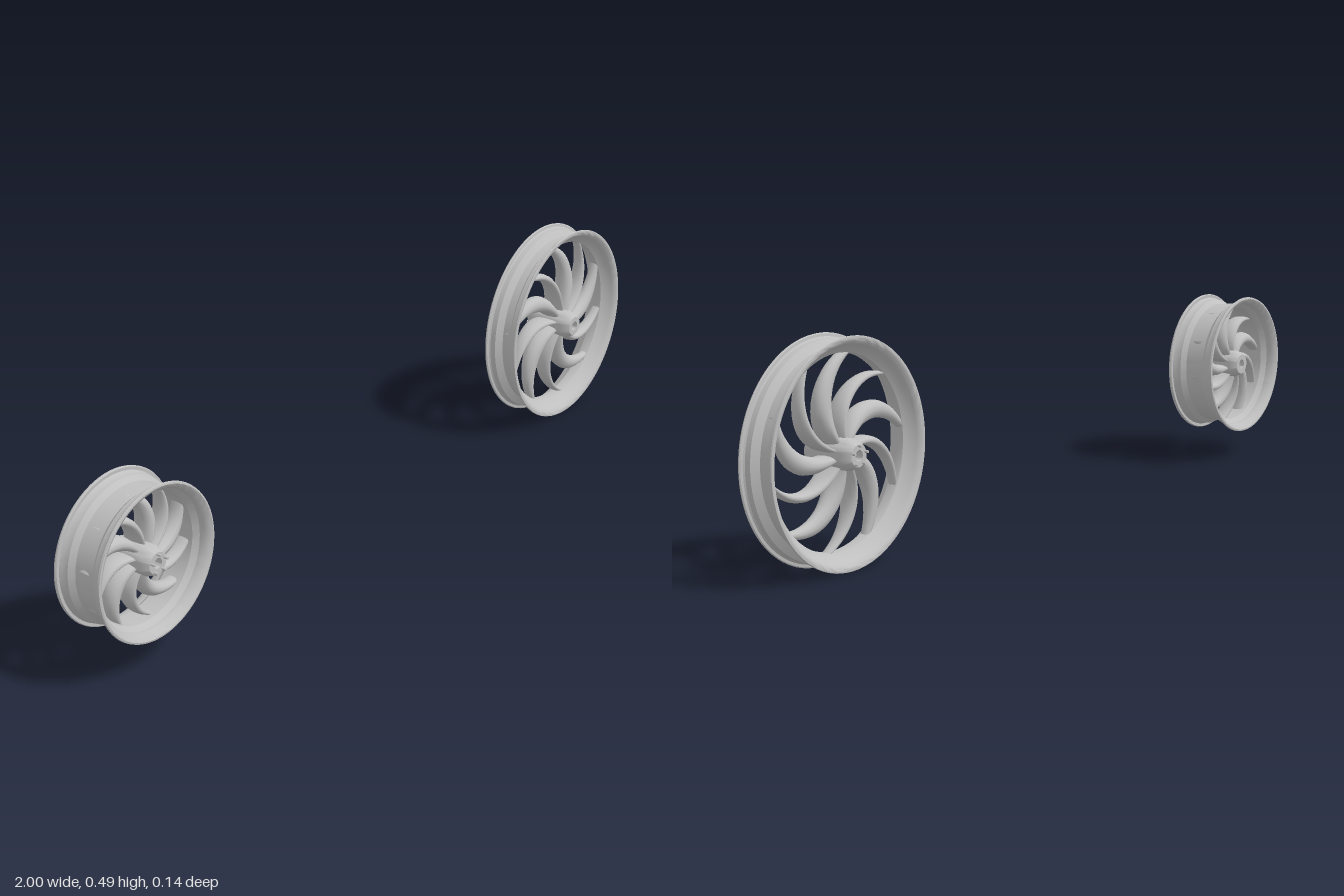
import * as THREE from 'three';
import { toCreasedNormals } from 'three/addons/utils/BufferGeometryUtils.js';

const metal = new THREE.MeshStandardMaterial({ color: 0xbfbfbf });
metal.name = 'cast metal';

function addMesh(parent, name, geometry) {
  const mesh = new THREE.Mesh(geometry, metal);
  mesh.name = name;
  parent.add(mesh);
  return mesh;
}

// Closed [radius, z] profile turned about the axle (z)
function turned(profile, segments) {
  const points = [...profile, profile[0]].map(([r, z]) => new THREE.Vector2(r, z));
  const geometry = new THREE.LatheGeometry(points, segments);
  geometry.rotateX(Math.PI / 2);
  return toCreasedNormals(geometry, 0.6);
}

// Mirror a half section (outer wall, lip, inner wall) across z = 0
function mirrored(half) {
  return [...half, ...half.slice(1, -1).reverse().map(([r, z]) => [r, -z])];
}

// Swept crescent blade: oval sections along a curved line from hub to rim
function bladeGeometry(r0, r1, width, depth0, depth1) {
  const rings = 20, sides = 12, positions = [], index = [];
  const at = (t) => {
    const r = r0 + (r1 - r0) * t;
    const a = 0.8 * Math.pow(Math.max(t, 0), 1.6);
    return new THREE.Vector2(r * Math.cos(a), r * Math.sin(a));
  };
  for (let i = 0; i <= rings; i++) {
    const t = i / rings;
    const p = at(t);
    const dir = at(t + 0.01).sub(at(t - 0.01)).normalize();
    const w = width * 0.5 * (0.35 + 0.65 * Math.sin(Math.PI * t));
    const d = depth0 + (depth1 - depth0) * t;
    for (let j = 0; j < sides; j++) {
      const f = (j / sides) * Math.PI * 2;
      const n = w * Math.cos(f);
      positions.push(p.x - dir.y * n, p.y + dir.x * n, d * Math.sin(f));
      if (i === rings) continue;
      const k = (j + 1) % sides;
      const a = i * sides + j, b = i * sides + k;
      index.push(a, b, a + sides, b, b + sides, a + sides);
    }
  }
  const geometry = new THREE.BufferGeometry();
  geometry.setAttribute('position', new THREE.Float32BufferAttribute(positions, 3));
  geometry.setIndex(index);
  geometry.computeVertexNormals();
  return geometry;
}

function makeWheel(name, o) {
  const wheel = new THREE.Group();
  wheel.name = name;

  addMesh(wheel, 'rim', turned(mirrored(o.rim), 96));
  addMesh(wheel, 'hub', turned(o.hub, 48));

  // Alternating broad and slim blades
  const spokes = new THREE.Group();
  spokes.name = 'spokes';
  wheel.add(spokes);
  const shapes = o.widths.map((w) => bladeGeometry(0.024, o.reach, w, o.depth[0], o.depth[1]));
  for (let i = 0; i < 10; i++) {
    const blade = addMesh(spokes, i % 2 ? 'slimSpoke' : 'broadSpoke', shapes[i % 2]);
    blade.rotation.z = 0.95 + (i / 10) * Math.PI * 2;
  }

  // Ring of small bolts on one hub face
  const bolt = new THREE.CylinderGeometry(0.003, 0.003, 0.012, 12);
  bolt.rotateX(Math.PI / 2);
  for (let i = 0; i < 5; i++) {
    const a = Math.PI / 2 + (i / 5) * Math.PI * 2;
    addMesh(wheel, 'hubBolt', bolt).position.set(0.021 * Math.cos(a), 0.021 * Math.sin(a), o.boltZ);
  }
  return wheel;
}

export function createModel() {
  const model = new THREE.Group();
  model.name = 'wheelPair';

  // Tall, narrow wheel
  const large = makeWheel('largeWheel', {
    rim: [
      [0.218, 0], [0.218, 0.01], [0.234, 0.022], [0.235, 0.035], [0.238, 0.038],
      [0.244, 0.039], [0.246, 0.041], [0.245, 0.044], [0.241, 0.045],
      [0.235, 0.043], [0.228, 0.034], [0.224, 0.024], [0.209, 0.012], [0.207, 0],
    ],
    hub: [
      [0.012, -0.064], [0.024, -0.064], [0.026, -0.062], [0.034, -0.042], [0.034, 0.042],
      [0.026, 0.062], [0.024, 0.064], [0.012, 0.064],
    ],
    reach: 0.213, widths: [0.042, 0.022], depth: [0.032, 0.011], boltZ: -0.066,
  });
  large.position.set(0.754, 0.246, 0);
  model.add(large);

  // Short, wide wheel
  const small = makeWheel('smallWheel', {
    rim: [
      [0.153, 0], [0.153, 0.024], [0.163, 0.036], [0.164, 0.052], [0.167, 0.056],
      [0.174, 0.056], [0.176, 0.059], [0.175, 0.063], [0.171, 0.064],
      [0.165, 0.061], [0.158, 0.05], [0.157, 0.038], [0.147, 0.026], [0.146, 0],
    ],
    hub: [
      [0.012, -0.052], [0.025, -0.052], [0.027, -0.05], [0.034, -0.034], [0.034, 0.042],
      [0.027, 0.06], [0.025, 0.062], [0.012, 0.062],
    ],
    reach: 0.151, widths: [0.034, 0.022], depth: [0.032, 0.016], boltZ: 0.067,
  });
  small.position.set(-0.824, 0.245, -0.001);
  model.add(small);

  return model;
}
